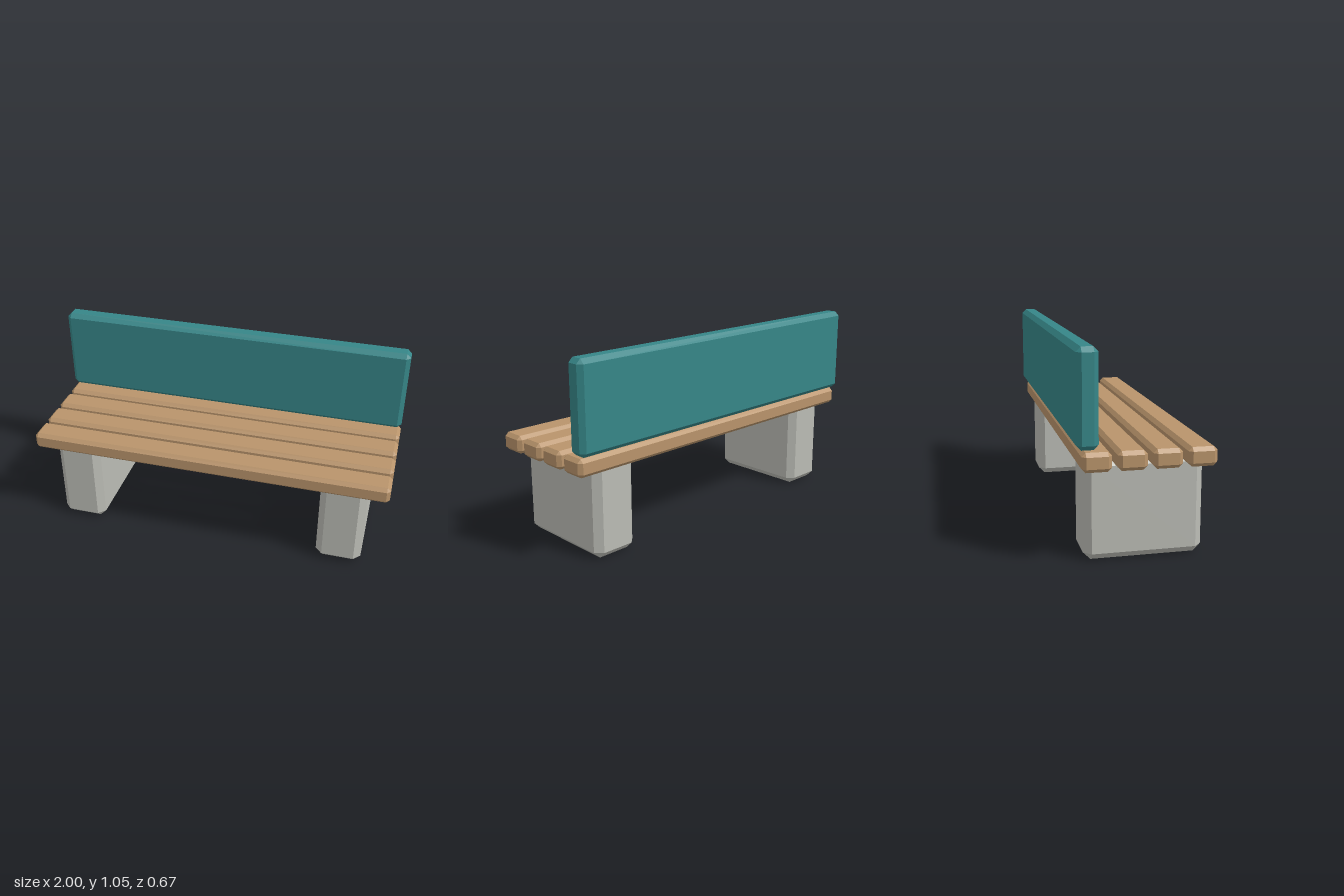
import * as THREE from 'three';
import { ConvexGeometry } from 'three/addons/geometries/ConvexGeometry.js';

const material = (name, color) => {
  const m = new THREE.MeshStandardMaterial({ color });
  m.name = name;
  return m;
};

// Box with every edge bevelled flat by c: three corner points per corner
function chamferBox(w, h, d, c) {
  const points = [];
  for (const sx of [-1, 1]) for (const sy of [-1, 1]) for (const sz of [-1, 1]) {
    const x = w / 2, y = h / 2, z = d / 2;
    points.push(
      new THREE.Vector3(sx * x, sy * (y - c), sz * (z - c)),
      new THREE.Vector3(sx * (x - c), sy * y, sz * (z - c)),
      new THREE.Vector3(sx * (x - c), sy * (y - c), sz * z),
    );
  }
  return new ConvexGeometry(points);
}

export function createModel() {
  const bench = new THREE.Group();
  bench.name = 'bench';
  const wood = material('wood', 0xb9946b);
  const teal = material('teal', 0x368688);
  const concrete = material('concrete', 0xbbbcb5);

  const add = (name, geometry, mat, x, y, z) => {
    const mesh = new THREE.Mesh(geometry, mat);
    mesh.name = name;
    mesh.position.set(x, y, z);
    bench.add(mesh);
  };

  // Concrete block legs
  const leg = chamferBox(0.252, 0.507, 0.591, 0.037);
  add('leftLeg', leg, concrete, 0.759, 0.2535, 0.0125);
  add('rightLeg', leg, concrete, -0.759, 0.2535, 0.0125);

  // Four seat slats, front to back
  const slat = chamferBox(2, 0.095, 0.142, 0.019);
  for (let i = 0; i < 4; i++) add(`seatSlat${i + 1}`, slat, wood, 0, 0.5185, 0.265 - i * 0.1687);

  // Backrest panel floating just above the rear slat
  add('backrest', chamferBox(2, 0.473, 0.105, 0.024), teal, 0, 0.8125, -0.2835);

  return bench;
}
